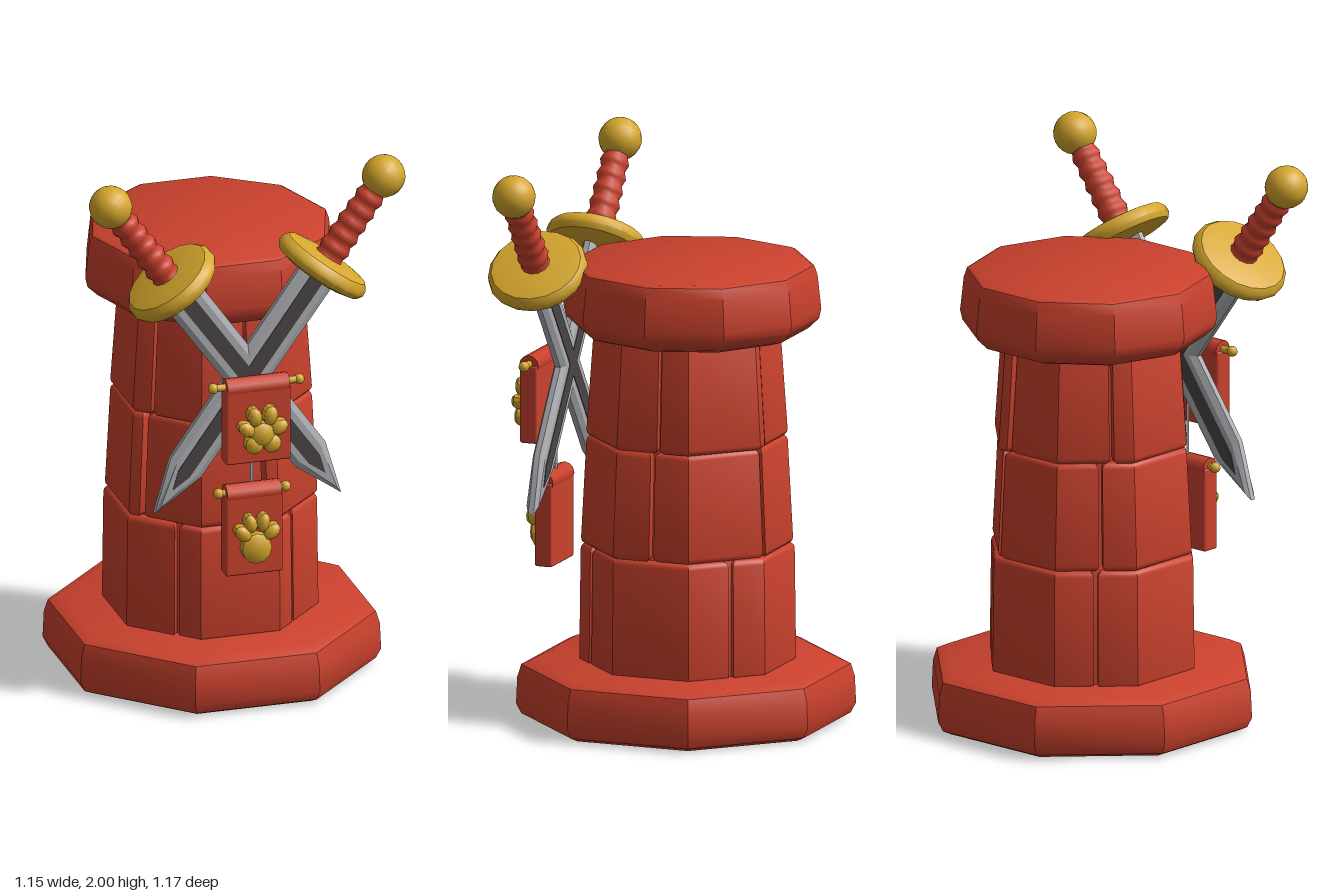
import * as THREE from 'three';
import { toCreasedNormals } from 'three/addons/utils/BufferGeometryUtils.js';
import { RoundedBoxGeometry } from 'three/addons/geometries/RoundedBoxGeometry.js';

const mat = (name, color) => {
  const m = new THREE.MeshStandardMaterial({ color });
  m.name = name;
  return m;
};
const red = mat('red stone', 0xca412d);
const gold = mat('gold', 0xd6a72d);
const steel = mat('steel', 0xacaeb2);
const dark = mat('dark steel', 0x4a4545);

const rad = THREE.MathUtils.degToRad;

function add(parent, name, geometry, material, x = 0, y = 0, z = 0) {
  const mesh = new THREE.Mesh(geometry, material);
  mesh.name = name;
  mesh.position.set(x, y, z);
  parent.add(mesh);
  return mesh;
}

// Turned solid with few sides; crease keeps hard corners
function turned(points, sides, start = 0, crease = 0.6) {
  const profile = points.map(([r, y]) => new THREE.Vector2(r, y));
  return toCreasedNormals(new THREE.LatheGeometry(profile, sides, start), crease);
}

// Distance from the centre to an octagon's edge at an angle
function octagonRadius(apothem, angle) {
  const q = Math.PI / 4;
  const local = ((angle + q / 2) % q + q) % q - q / 2;
  return apothem / Math.cos(local);
}

// One bevelled wall stone, spanning two angles measured from +z towards +x
function stone(a0, a1, bottom, top, y0, y1) {
  const gap = 0.022, bevel = 0.022, inner = 0.2;
  const from = a0 + gap, to = a1 - gap;
  const angles = [from];
  for (let k = -1; k < 24; k++) {
    const corner = rad(22.5 + 45 * k);
    if (corner > from + 0.06 && corner < to - 0.06) angles.push(corner);
  }
  angles.push(to);
  const at = (a, r) => new THREE.Vector2(Math.sin(a) * r, -Math.cos(a) * r);
  const outline = angles.map(a => at(a, octagonRadius(bottom, a)));
  for (const a of [...angles].reverse()) outline.push(at(a, inner));
  const g = new THREE.ExtrudeGeometry(new THREE.Shape(outline), {
    depth: y1 - y0 - 2 * bevel, bevelEnabled: true, bevelSize: bevel,
    bevelThickness: bevel, bevelOffset: -bevel, bevelSegments: 3,
  });
  g.rotateX(-Math.PI / 2).translate(0, y0 + bevel, 0);
  // Taper towards the top
  const p = g.attributes.position;
  for (let i = 0; i < p.count; i++) {
    const s = THREE.MathUtils.lerp(1, top / bottom, (p.getY(i) - y0) / (y1 - y0));
    p.setX(i, p.getX(i) * s);
    p.setZ(i, p.getZ(i) * s);
  }
  return toCreasedNormals(g, 0.6);
}

function buildTower() {
  const tower = new THREE.Group();
  tower.name = 'tower';
  const oct = 1 / Math.cos(Math.PI / 8);

  // Octagonal foot
  const foot = [[0, 0.005], [0.5, 0.005], [0.53, 0.02], [0.547, 0.055], [0.543, 0.15],
    [0.53, 0.195], [0.49, 0.215], [0, 0.215]].map(([r, y]) => [r * oct, y]);
  add(tower, 'foot', turned(foot, 8, Math.PI / 8), red, 0.006, 0, -0.038);

  // Inner wall seen in the joints
  const core = [[0.328, 0.2], [0.328, 0.61], [0.31, 0.65], [0.275, 1.4]].map(([r, y]) => [r * oct, y]);
  add(tower, 'core', turned(core, 8, Math.PI / 8), red, 0.006, 0, -0.043);

  // Three courses of stones with staggered joints
  const courses = [
    { y0: 0.2, y1: 0.63, bottom: 0.35, top: 0.345, joints: [37, 138, 225, 323] },
    { y0: 0.625, y1: 1.015, bottom: 0.341, top: 0.322, joints: [15, 90, 160, 228, 300] },
    { y0: 1.01, y1: 1.41, bottom: 0.328, top: 0.302, joints: [5, 94, 165, 235, 305] },
  ];
  courses.forEach(({ y0, y1, bottom, top, joints }, c) => joints.forEach((a, i) => {
    const next = i + 1 < joints.length ? joints[i + 1] : joints[0] + 360;
    const wobble = ((i * 7 + c * 3) % 5 - 2) * 0.002;
    add(tower, 'stone', stone(rad(a), rad(next), bottom + wobble, top + wobble, y0, y1),
      red, 0.006, 0, -0.043);
  }));

  // Ten-sided cap
  add(tower, 'cap', turned([[0, 1.39], [0.36, 1.385], [0.405, 1.4], [0.442, 1.435], [0.45, 1.47],
    [0.437, 1.59], [0.425, 1.625], [0.41, 1.633], [0, 1.633]], 10, rad(18)), red, 0.002, 0, -0.06);
  return tower;
}

// Sword standing upright, with its origin at the pommel
function buildSword() {
  const sword = new THREE.Group();
  sword.name = 'sword';
  add(sword, 'pommel', new THREE.SphereGeometry(0.076, 16, 12), gold);

  // Wrapped grip
  const grip = [];
  for (let i = 0; i <= 24; i++) {
    grip.push([0.047 + 0.005 * Math.sin(i * Math.PI / 2) + 0.006 * (1 - i / 24), -0.37 + i * 0.0133]);
  }
  add(sword, 'grip', turned(grip, 12, 0, 0.9), red);

  // Round guard
  add(sword, 'guard', turned([[0, -0.425], [0.13, -0.42], [0.165, -0.41], [0.177, -0.39],
    [0.175, -0.37], [0.16, -0.352], [0.12, -0.345], [0, -0.34]], 18, 0, 0.7), gold);

  // Pointed blade with bevelled edges
  const outline = w => new THREE.Shape(w.map(([x, y]) => new THREE.Vector2(x, y)));
  const blade = new THREE.ExtrudeGeometry(outline([[-0.073, -0.4], [-0.069, -1.24], [0, -1.435],
    [0.069, -1.24], [0.073, -0.4]]), {
    depth: 0.02, bevelEnabled: true, bevelSize: 0.022, bevelThickness: 0.013,
    bevelOffset: -0.022, bevelSegments: 1,
  });
  blade.translate(0, 0, -0.01);
  add(sword, 'blade', toCreasedNormals(blade, 0.4), steel);

  // Dark groove on both sides
  const groove = outline([[-0.027, -0.42], [-0.025, -1.26], [0, -1.33], [0.025, -1.26], [0.027, -0.42]]);
  for (const side of [-1, 1]) {
    add(sword, 'groove', new THREE.ExtrudeGeometry(groove, { depth: 0.004, bevelEnabled: false }),
      dark, 0, 0, side * 0.0235 - 0.002);
  }
  return sword;
}

// Hanging banner with a rolled top, rod and raised paw ornament
function buildBanner({ width, bottom, rodY, rodHalf, z, pads }) {
  const banner = new THREE.Group();
  banner.name = 'banner';
  const height = rodY - bottom;
  add(banner, 'cloth', new RoundedBoxGeometry(width, height, 0.066, 2, 0.008), red, 0, bottom + height / 2, z);

  const bar = (r, len) => new THREE.CylinderGeometry(r, r, len, 12).rotateZ(Math.PI / 2);
  add(banner, 'roll', bar(0.036, width - 0.01), red, 0, rodY, z);
  add(banner, 'rod', bar(0.013, rodHalf * 2 - 0.02), gold, 0, rodY + 0.005, z);
  for (const s of [-1, 1]) {
    add(banner, 'rodEnd', new THREE.SphereGeometry(0.019, 10, 8), gold, s * (rodHalf - 0.018), rodY + 0.005, z);
  }

  const puck = turned([[0, 0], [1, 0], [1, 0.034], [0.75, 0.044], [0, 0.044]], 12, 0, 0.5).rotateX(Math.PI / 2);
  for (const [x, y, rx, ry, turn] of pads) {
    const pad = add(banner, 'pad', puck, gold, x, y, z + 0.03);
    pad.scale.set(rx, ry, 1);
    pad.rotation.z = turn;
  }
  return banner;
}

export function createModel() {
  const model = new THREE.Group();
  model.name = 'towerWithSwords';
  model.add(buildTower());

  // Crossed swords
  for (const s of [-1, 1]) {
    const sword = buildSword();
    sword.position.set(s * 0.497 - 0.003, 1.925, 0.412);
    sword.rotation.z = -s * 0.622;
    model.add(sword);
  }

  // Two banners: x, y, radii and turn for each pad
  model.add(buildBanner({
    width: 0.236, bottom: 0.957, rodY: 1.235, rodHalf: 0.175, z: 0.509,
    pads: [[0.005, 1.07, 0.045, 0.045, 0], [-0.025, 1.035, 0.032, 0.034, 0.4], [0.04, 1.035, 0.032, 0.034, -0.4],
      [-0.052, 1.095, 0.024, 0.033, 0.9], [-0.022, 1.14, 0.025, 0.035, 0.2],
      [0.035, 1.14, 0.025, 0.035, -0.2], [0.068, 1.092, 0.024, 0.033, -0.9]],
  }));
  model.add(buildBanner({
    width: 0.208, bottom: 0.518, rodY: 0.817, rodHalf: 0.14, z: 0.459,
    pads: [[0, 0.625, 0.054, 0.056, 0], [-0.05, 0.685, 0.024, 0.034, 0.8], [-0.022, 0.72, 0.022, 0.034, 0.2],
      [0.025, 0.72, 0.022, 0.034, -0.2], [0.055, 0.682, 0.024, 0.034, -0.8]],
  }));

  // Cord joining the banners
  add(model, 'cord', new THREE.CylinderGeometry(0.005, 0.005, 0.42, 6), steel, 0, 1.0, 0.452);
  return model;
}
